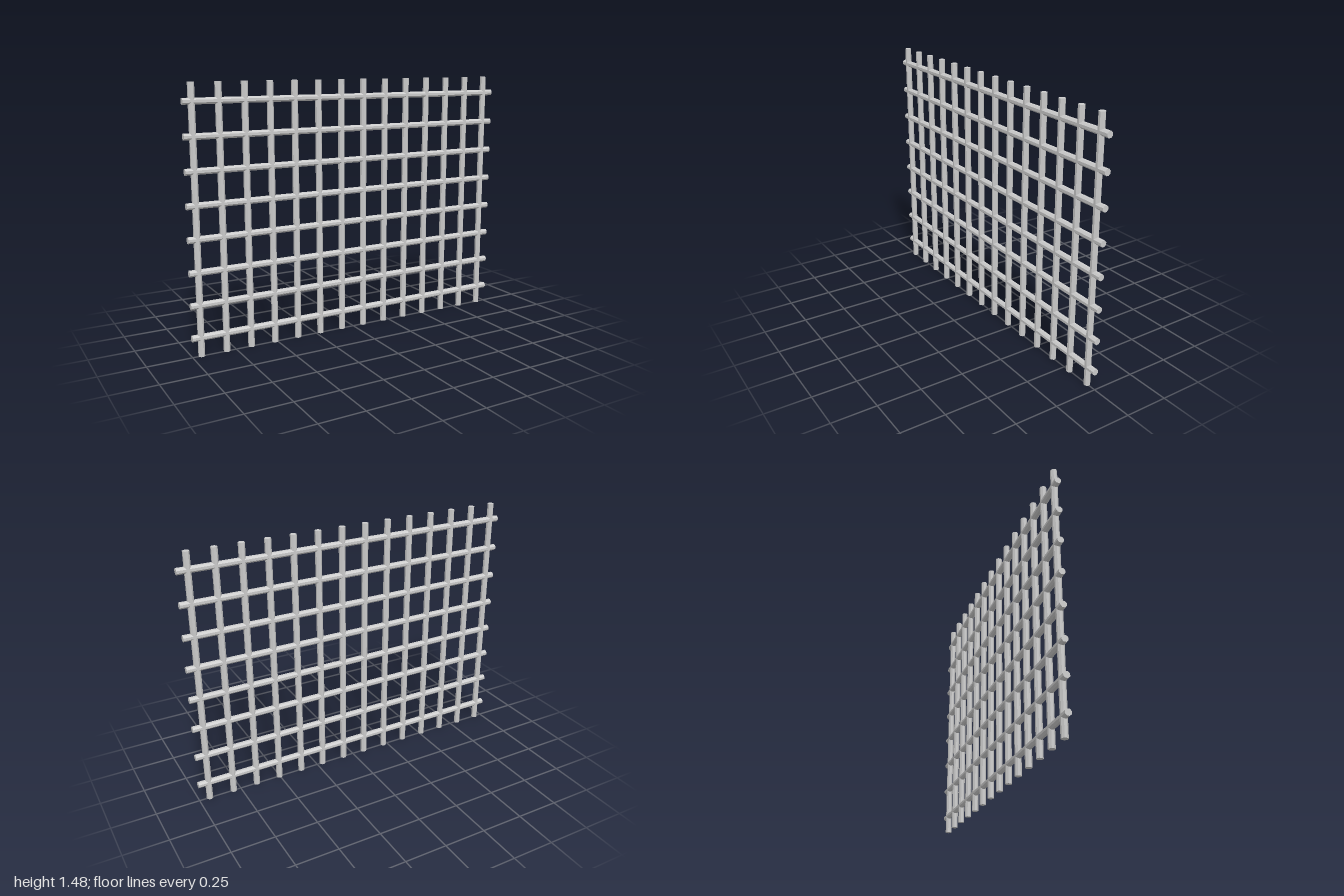
import * as THREE from 'three';

const RADIUS = 0.0185;
const SIDES = 8;
const WIDTH = 2;
const HEIGHT = 1.476;

// Octagonal rod with a flat facet facing the front
function rod(length) {
  return new THREE.CylinderGeometry(RADIUS, RADIUS, length, SIDES).rotateY(Math.PI / SIDES);
}

export function createModel() {
  const model = new THREE.Group();
  model.name = 'barGrille';
  const material = new THREE.MeshStandardMaterial({ color: 0xcccccc, flatShading: true });

  // Evenly spaced row of identical bars, placed by a rule
  function addBars(name, geometry, count, place) {
    const row = new THREE.Group();
    row.name = name + 's';
    for (let i = 0; i < count; i++) {
      const bar = new THREE.Mesh(geometry, material);
      bar.name = name;
      place(bar, i);
      row.add(bar);
    }
    model.add(row);
  }

  // Upright bars
  addBars('verticalBar', rod(HEIGHT), 14, (bar, i) => {
    bar.position.set(-0.949 + i * 0.1452, HEIGHT / 2, 0);
  });

  // Cross bars running through the uprights
  addBars('horizontalBar', rod(WIDTH).rotateZ(Math.PI / 2), 8, (bar, i) => {
    bar.position.y = 0.107 + i * 0.1815;
  });

  return model;
}
